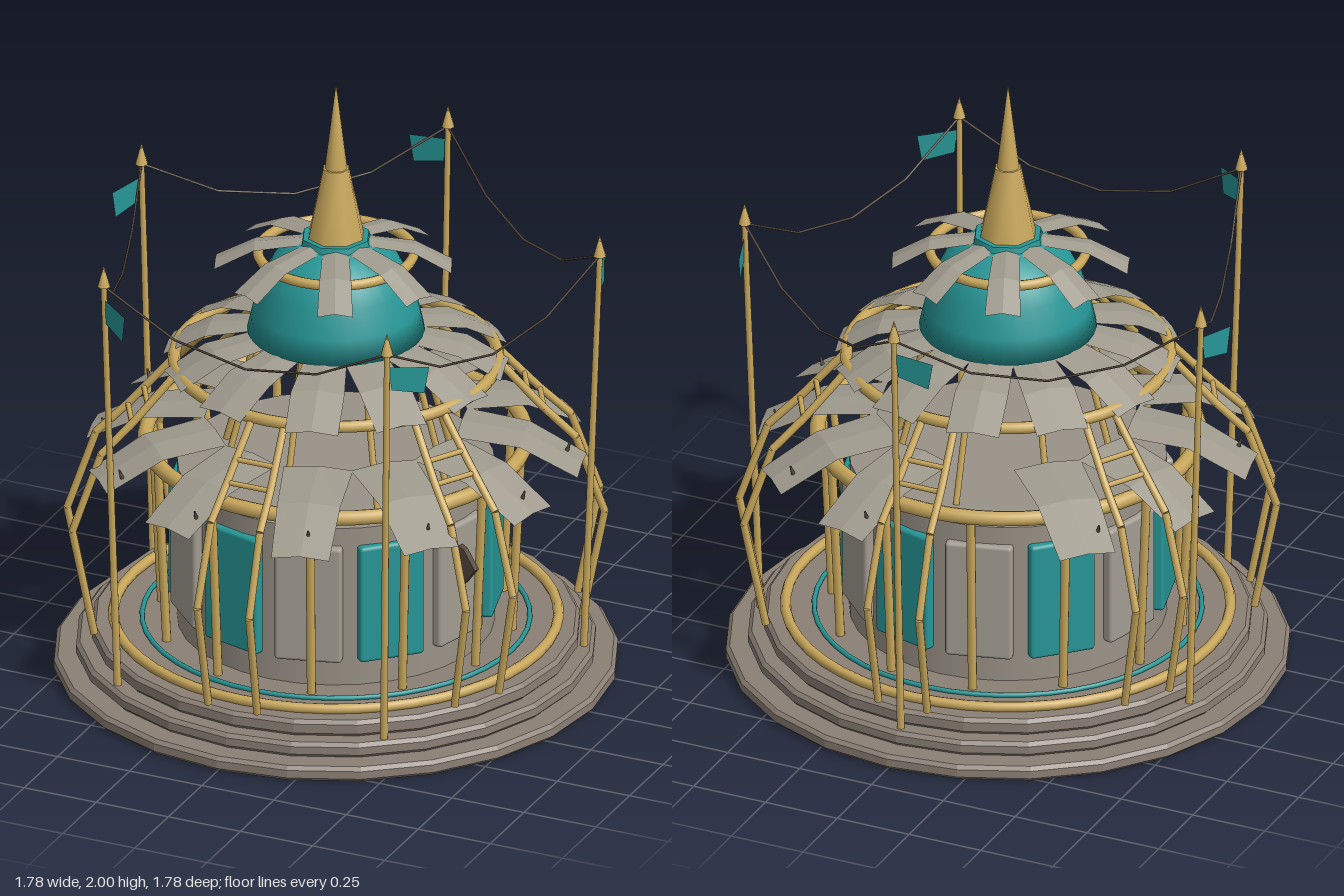
import * as THREE from 'three';
import { RoundedBoxGeometry } from 'three/addons/geometries/RoundedBoxGeometry.js';

const mat = (color, extra = {}) => new THREE.MeshStandardMaterial({ color, ...extra });
const stone = mat(0x8c8075, { flatShading: true });
const wall = mat(0x9a9287);
const panelGrey = mat(0xa39d92);
const leaf = mat(0xa09b8e, { flatShading: true, side: THREE.DoubleSide });
const gold = mat(0xc9a85c);
const teal = mat(0x279696, { side: THREE.DoubleSide });
const dark = mat(0x55483c);

const V = (x, y, z) => new THREE.Vector3(x, y, z);
const UP = V(0, 1, 0);
const rad = THREE.MathUtils.degToRad;
// point at angle a (from +z towards +x), radius r, height y, shifted sideways by s
const polar = (a, r, y, s = 0) =>
  V(Math.sin(a) * r + Math.cos(a) * s, y, Math.cos(a) * r - Math.sin(a) * s);
const wobble = (i) => Math.sin(i * 12.9 + 1.7);

export function createModel() {
  const root = new THREE.Group();
  const add = (name, geometry, material, parent = root) => {
    const m = new THREE.Mesh(geometry, material);
    m.name = name;
    parent.add(m);
    return m;
  };
  const group = (name) => {
    const g = new THREE.Group();
    g.name = name;
    root.add(g);
    return g;
  };
  const ring = (name, R, tube, y, material = gold) => {
    const m = add(name, new THREE.TorusGeometry(R, tube, 8, 48), material);
    m.rotation.x = Math.PI / 2;
    m.position.y = y;
  };
  const rod = (name, a, b, r1, r2, material, parent, sides = 8) => {
    const d = b.clone().sub(a);
    const m = add(name, new THREE.CylinderGeometry(r2, r1, d.length(), sides), material, parent);
    m.position.copy(a).addScaledVector(d, 0.5);
    m.quaternion.setFromUnitVectors(UP, d.normalize());
    return m;
  };

  // stepped base with rounded rims
  [[0.89, 0, 0.05], [0.82, 0.05, 0.1], [0.77, 0.1, 0.155]].forEach(([r, y0, y1]) => {
    const c = 0.012;
    const profile = [[0, y0], [r - c, y0], [r, y0 + c], [r, y1 - c], [r - c, y1], [0, y1]];
    add('baseStep', new THREE.LatheGeometry(profile.map((p) => new THREE.Vector2(...p)), 24), stone);
  });
  ring('baseRail', 0.7, 0.017, 0.168);
  ring('baseTrim', 0.61, 0.008, 0.162, teal);

  // drum with alternating panels
  const drum = add('drum', new THREE.CylinderGeometry(0.5, 0.5, 0.545, 32), wall);
  drum.position.y = 0.4275;
  const panels = group('wallPanels');
  for (let i = 0; i < 12; i++) {
    const a = rad(15 + 30 * i);
    const p = add('wallPanel', new RoundedBoxGeometry(0.215, 0.4, 0.04, 2, 0.012),
      i % 2 ? teal : panelGrey, panels);
    p.position.copy(polar(a, 0.498, 0.44));
    p.rotation.y = a;
  }

  // pointed handle standing out from one panel
  const shape = new THREE.Shape();
  [[0, -0.07], [0.03, -0.06], [0.075, 0], [0.03, 0.06], [0, 0.07]].forEach(([x, y], i) =>
    i ? shape.lineTo(x, y) : shape.moveTo(x, y));
  const handle = add('doorHandle',
    new THREE.ExtrudeGeometry(shape, { depth: 0.02, bevelEnabled: false }), dark);
  handle.position.copy(polar(rad(75), 0.51, 0.5));
  handle.rotation.y = rad(-15);

  // gallery posts and upper roof supports
  const posts = group('posts');
  for (let i = 0; i < 12; i++) {
    const a = rad(15 + 30 * i + 2 * wobble(i));
    rod('galleryPost', polar(a, 0.56, 0.155), polar(a, 0.59, 0.79), 0.015, 0.015, gold, posts);
  }
  for (let i = 0; i < 8; i++) {
    const a = rad(45 * i);
    rod('roofSupport', polar(a, 0.38, 0.7), polar(a, 0.25, 1.17), 0.011, 0.011, gold, posts);
  }

  // paired bowed ribs joined by rungs
  const ribs = group('ribs');
  const bow = [[0.77, 0.17, 0.085], [0.84, 0.53, 0.09], [0.75, 0.79, 0.085],
    [0.65, 0.89, 0.075], [0.5, 1.06, 0.055]];
  for (let i = 0; i < 6; i++) {
    const a = rad(60 * i);
    for (const side of [-1, 1]) {
      for (let k = 1; k < bow.length; k++) {
        const [p, q] = [bow[k - 1], bow[k]].map(([r, y, s]) => polar(a, r, y, s * side));
        rod('rib', p, q, 0.013, 0.013, gold, ribs);
      }
    }
    for (const [r, y, s] of [[0.65, 0.89, 0.075], [0.6, 0.95, 0.068]]) {
      rod('rung', polar(a, r, y, -s), polar(a, r, y, s), 0.009, 0.009, gold, ribs);
    }
  }
  ring('lowerRing', 0.6, 0.025, 0.785);
  ring('middleRing', 0.51, 0.02, 1.06);
  ring('upperRing', 0.245, 0.017, 1.425);

  // roof tile: rows of [radius, height, half width], raised along the middle
  const tile = (rows, a, stretch) => {
    const pos = [], index = [];
    const r0 = rows[0][0];
    rows.forEach(([r, y, w], j) => {
      for (let c = -1; c <= 1; c++) {
        pos.push(...polar(a, r0 + (r - r0) * stretch, y - (c ? 0.01 : 0), c * w).toArray());
        if (j && c < 1) {
          const n = j * 3 + c + 1;
          index.push(n - 3, n, n + 1, n - 3, n + 1, n - 2);
        }
      }
    });
    const g = new THREE.BufferGeometry();
    g.setAttribute('position', new THREE.Float32BufferAttribute(pos, 3));
    g.setIndex(index);
    g.computeVertexNormals();
    return g;
  };
  const tier = (name, count, offset, rows, skip = -1) => {
    const g = group(name);
    for (let i = 0; i < count; i++) {
      if (i === skip) continue;
      const a = rad(offset + (360 / count) * i + 2 * wobble(i));
      add('roofTile', tile(rows, a, 1 + 0.04 * wobble(i * 3)), leaf, g);
    }
    return g;
  };
  const lower = tier('lowerRoof', 12, 15,
    [[0.4, 0.87, 0.11], [0.61, 0.845, 0.1], [0.8, 0.75, 0.092]], 6);
  tier('middleRoof', 12, 15, [[0.26, 1.165, 0.07], [0.41, 1.14, 0.085], [0.55, 1.065, 0.085]]);
  tier('upperRoof', 8, 22.5, [[0.1, 1.475, 0.042], [0.25, 1.455, 0.05], [0.37, 1.39, 0.056]]);
  for (let i = 0; i < 12; i++) {
    if (i === 6) continue;
    const a = rad(15 + 30 * i);
    rod('tileStud', polar(a, 0.73, 0.775, 0.04), polar(a, 0.74, 0.805, 0.04), 0.007, 0.003, dark, lower, 6);
  }

  // dome
  const domeProfile = [[0, 1.16], [0.28, 1.16], [0.262, 1.24], [0.235, 1.33], [0.2, 1.4],
    [0.12, 1.465], [0, 1.475]];
  add('dome', new THREE.LatheGeometry(domeProfile.map((p) => new THREE.Vector2(...p)), 32), teal);
  const collar = add('spireCollar', new THREE.CylinderGeometry(0.11, 0.115, 0.02, 8), teal);
  collar.position.y = 1.475;

  // spire
  rod('spireBase', V(0, 1.47, 0), V(0, 1.72, 0), 0.095, 0.043, gold, root, 8);
  rod('spireTip', V(0, 1.715, 0), V(0, 2, 0), 0.036, 0.002, gold, root, 12);

  // flagpoles, flags and the sagging lines between them
  const flags = group('flagpoles');
  const angle = (i) => rad(36 + 72 * i);
  const height = [1.46, 1.46, 1.5, 1.46, 1.5];
  const poleTop = (i) => polar(angle(i % 5), 0.835, height[i % 5]);
  for (let i = 0; i < 5; i++) {
    const a = angle(i), h = height[i], top = poleTop(i);
    rod('flagpole', polar(a, 0.785, 0.1), top, 0.013, 0.01, gold, flags);
    rod('finial', top, top.clone().setY(h + 0.07), 0.021, 0.001, gold, flags);

    const corners = [[0.005, -0.045], [0.015, -0.125], [0.12, -0.145], [0.135, -0.055]]
      .map(([s, y]) => polar(a, 0.835, h + y, s));
    const flag = new THREE.BufferGeometry().setFromPoints(corners);
    flag.setIndex([0, 1, 2, 0, 2, 3]);
    flag.computeVertexNormals();
    add('flag', flag, teal, flags);

    const next = poleTop(i + 1);
    const line = [0, 0.25, 0.5, 0.75, 1].map((t) => {
      const p = top.clone().lerp(next, t);
      p.y -= 0.68 * t * (1 - t);
      return p;
    });
    for (let k = 1; k < line.length; k++) {
      rod('flagLine', line[k - 1], line[k], 0.004, 0.004, dark, flags, 5);
    }
  }
  return root;
}
